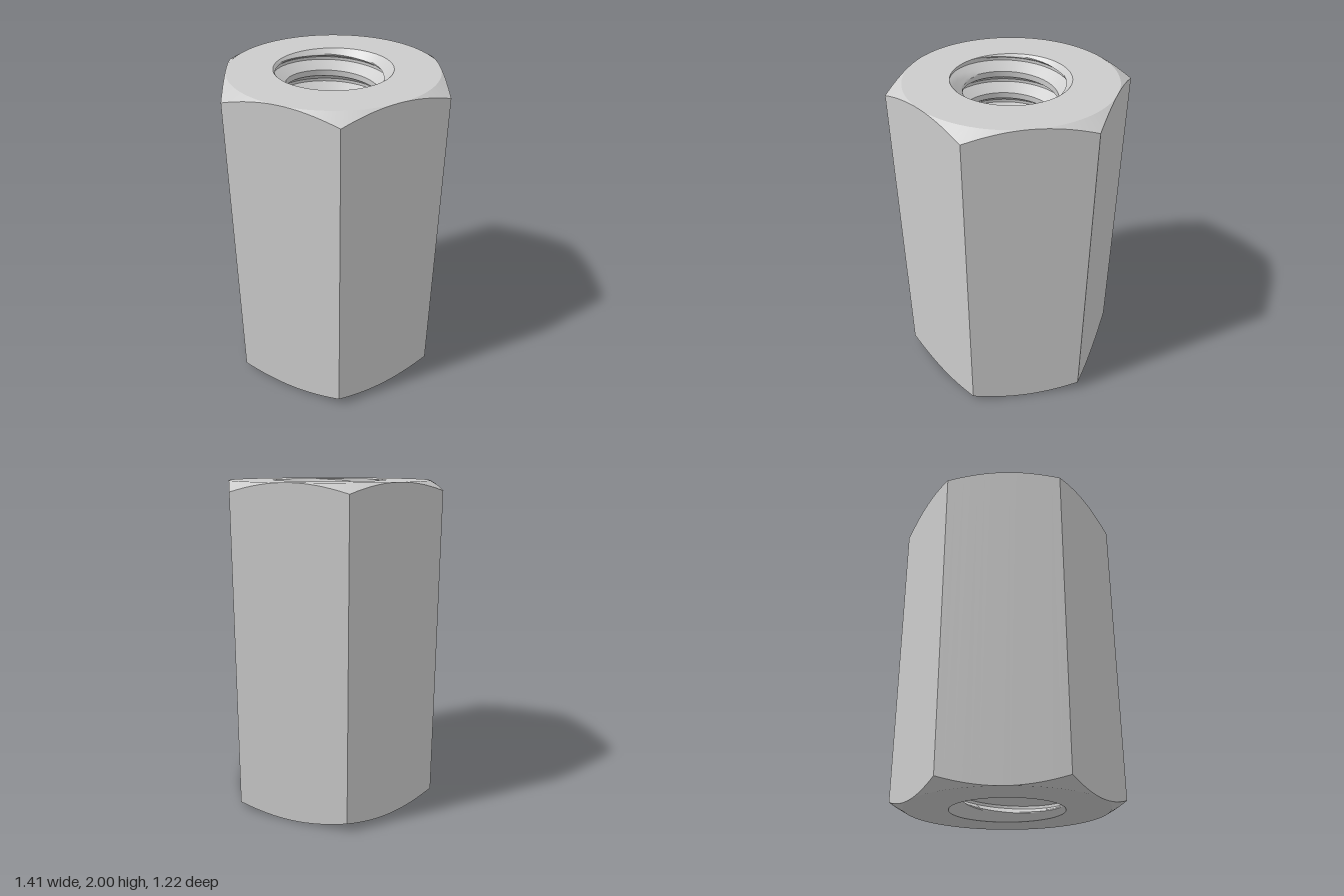
import * as THREE from 'three';
import { toCreasedNormals } from 'three/addons/utils/BufferGeometryUtils.js';

const HEIGHT = 2, APOTHEM = 0.61;
const MINOR = 0.275, MAJOR = 0.345, PITCH = 0.139;
const SEGMENTS = 96; // multiple of six, so the hex corners stay sharp

// Sweeps a section around the axis; section(angle) returns [radius, y] pairs.
function sweep(section) {
  const rings = [];
  for (let i = 0; i <= SEGMENTS; i++) {
    const a = (i / SEGMENTS) * Math.PI * 2;
    rings.push(section(a).map(([r, y]) => new THREE.Vector3(r * Math.cos(a), y, -r * Math.sin(a))));
  }
  const positions = [];
  const triangle = (a, b, c) => {
    if (new THREE.Triangle(a, b, c).getArea() < 1e-9) return;
    for (const p of [a, b, c]) positions.push(p.x, p.y, p.z);
  };
  for (let i = 0; i < SEGMENTS; i++) {
    const p = rings[i], q = rings[i + 1];
    for (let j = 0; j < p.length - 1; j++) {
      triangle(p[j], p[j + 1], q[j]);
      triangle(q[j], p[j + 1], q[j + 1]);
    }
  }
  const geometry = new THREE.BufferGeometry();
  geometry.setAttribute('position', new THREE.Float32BufferAttribute(positions, 3));
  return toCreasedNormals(geometry, 0.4);
}

// Hexagonal wall with conical chamfers and flat end faces
function hexSection(a) {
  const sector = Math.PI / 3;
  const r = APOTHEM / Math.cos((a % sector) - sector / 2);
  const drop = (r - APOTHEM) * Math.tan(Math.PI / 6);
  return [
    [MAJOR, HEIGHT], [APOTHEM, HEIGHT], [r, HEIGHT - drop],
    [r, drop], [APOTHEM, 0], [MAJOR, 0],
  ];
}

// One thread pitch: [fraction of pitch, radius] for crest, flank, root, flank
const THREAD = [[0, MINOR], [0.25, MINOR], [0.5625, MAJOR], [0.6875, MAJOR], [1, MINOR]];
const STEPS = 5;

// Right-handed helical thread, cut by a 45 degree countersink at each end
function threadSection(a) {
  const points = [];
  const start = HEIGHT - (MAJOR - MINOR) + PITCH * (a / (Math.PI * 2) - 0.75);
  for (let turn = -16; turn <= 2; turn++) {
    for (let k = 0; k < THREAD.length - 1; k++) {
      const [s0, r0] = THREAD[k], [s1, r1] = THREAD[k + 1];
      for (let n = 0; n < STEPS; n++) {
        const t = n / STEPS;
        const s = THREE.MathUtils.lerp(s0, s1, t);
        const y = THREE.MathUtils.clamp(start + PITCH * (turn + s), 0, HEIGHT);
        const countersink = MAJOR - Math.min(y, HEIGHT - y);
        points.push([Math.max(THREE.MathUtils.lerp(r0, r1, t), countersink), y]);
      }
    }
  }
  return points;
}

export function createModel() {
  const group = new THREE.Group();
  group.name = 'couplingNut';
  const material = new THREE.MeshStandardMaterial({ color: 0xcccccc });

  const body = new THREE.Mesh(sweep(hexSection), material);
  body.name = 'hexBody';

  const bore = new THREE.Mesh(sweep(threadSection), material);
  bore.name = 'threadedBore';

  group.add(body, bore);
  return group;
}
